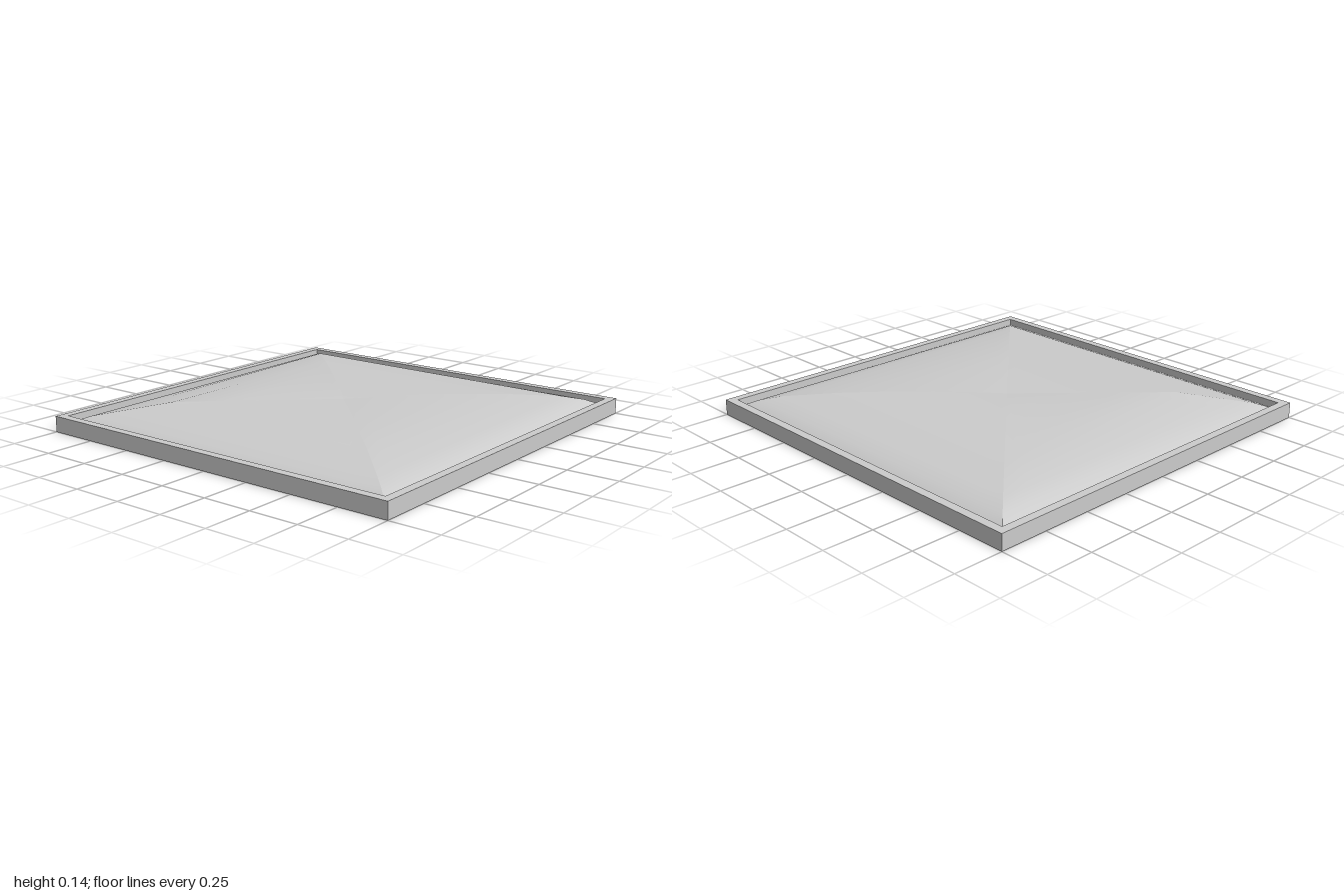
import * as THREE from 'three';
import { mergeGeometries } from 'three/addons/utils/BufferGeometryUtils.js';

const material = new THREE.MeshStandardMaterial({ color: 0xcccccc });

function named(geometry, name) {
  const mesh = new THREE.Mesh(geometry, material);
  mesh.name = name;
  return mesh;
}

// Square rings of the mound: half width, then heights at the
// back left, back right, front right and front left corners (as seen from the front)
const RINGS = [
  [0.955, 0.03, 0.03, 0.03, 0.03],
  [0.943, 0.05, 0.05, 0.05, 0.05],
  [0.88, 0.075, 0.08, 0.08, 0.075],
  [0.8, 0.092, 0.105, 0.1, 0.09],
  [0.6, 0.133, 0.122, 0.12, 0.115],
  [0.4, 0.131, 0.131, 0.13, 0.122],
  [0.2, 0.126, 0.137, 0.132, 0.124],
  [0, 0.122, 0.122, 0.122, 0.122],
];
const CORNERS = [[-1, -1], [1, -1], [1, 1], [-1, 1]];

// One quarter of the mound: smooth from rim to centre, creased at the hips
function moundSide(side) {
  const steps = 12, next = (side + 1) % 4;
  const positions = [], indices = [];
  const [ax, az] = CORNERS[side], [bx, bz] = CORNERS[next];
  RINGS.forEach((ring, r) => {
    for (let i = 0; i <= steps; i++) {
      const t = i / steps;
      positions.push(
        THREE.MathUtils.lerp(ax, bx, t) * ring[0],
        THREE.MathUtils.lerp(ring[side + 1], ring[next + 1], t),
        THREE.MathUtils.lerp(az, bz, t) * ring[0]
      );
      if (r === 0 || i === steps) continue;
      const outer = (r - 1) * (steps + 1) + i, inner = outer + steps + 1;
      indices.push(outer, inner, outer + 1);
      if (r < RINGS.length - 1) indices.push(outer + 1, inner, inner + 1);
    }
  });
  const geometry = new THREE.BufferGeometry();
  geometry.setAttribute('position', new THREE.Float32BufferAttribute(positions, 3));
  geometry.setIndex(indices);
  geometry.computeVertexNormals();
  return geometry;
}

export function createModel() {
  const model = new THREE.Group();
  model.name = 'framedMound';

  // Raised square border
  const outline = new THREE.Shape([[-1, -1], [1, -1], [1, 1], [-1, 1]].map(p => new THREE.Vector2(...p)));
  const h = 0.957;
  outline.holes.push(new THREE.Path([[-h, -h], [-h, h], [h, h], [h, -h]].map(p => new THREE.Vector2(...p))));
  const frame = new THREE.ExtrudeGeometry(outline, { depth: 0.08, bevelEnabled: false });
  frame.rotateX(-Math.PI / 2);
  model.add(named(frame, 'frame'));

  // Floor closing the underside
  const base = new THREE.BoxGeometry(2 * h, 0.03, 2 * h);
  base.translate(0, 0.015, 0);
  model.add(named(base, 'base'));

  // Gently uneven four-sided mound with a shallow central dip
  model.add(named(mergeGeometries([0, 1, 2, 3].map(moundSide)), 'mound'));
  return model;
}
